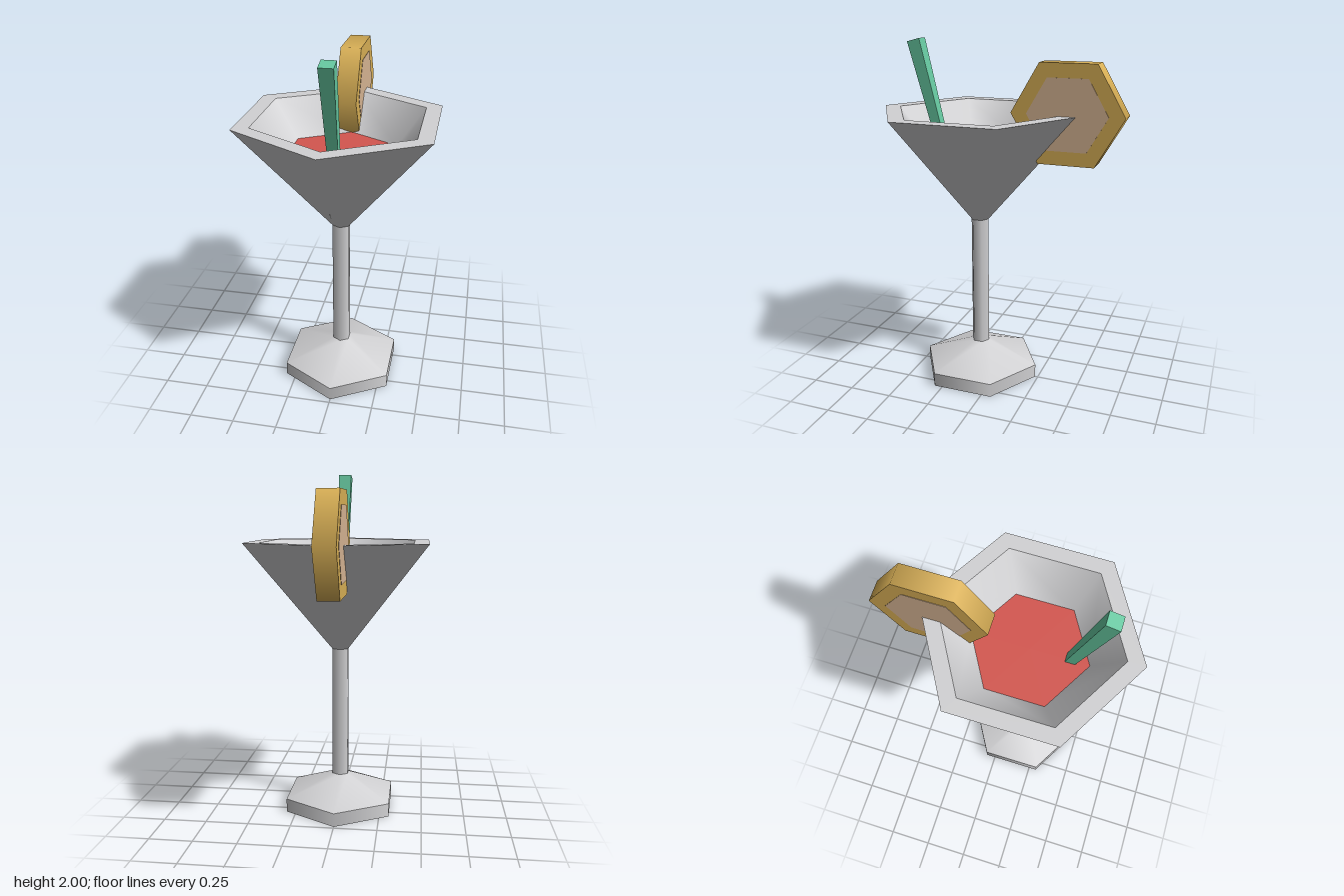
import * as THREE from 'three';

const mat = (name, color, side = THREE.FrontSide) => {
  const m = new THREE.MeshStandardMaterial({ color, side });
  m.name = name;
  return m;
};

export function createModel() {
  const glass = mat('clear grey glass', 0xd2d2d4, THREE.DoubleSide);
  const red = mat('red drink', 0xd4564f);
  const green = mat('green straw', 0x66c8a0);
  const yellow = mat('yellow peel', 0xd9b056);
  const pale = mat('pale flesh', 0xd8b694);

  const root = new THREE.Group();
  root.name = 'cocktail';
  const add = (parent, name, geometry, material, x = 0, y = 0, z = 0) => {
    const mesh = new THREE.Mesh(geometry, material);
    mesh.name = name;
    mesh.position.set(x, y, z);
    parent.add(mesh);
    return mesh;
  };

  // Six-sided glass, corners pointing to the front and back
  const cup = new THREE.Group();
  cup.name = 'glass';
  cup.position.z = 0.12;
  root.add(cup);
  const wall = (name, r0, y0, r1, y1) =>
    add(cup, name, new THREE.CylinderGeometry(r1, r0, y1 - y0, 6, 1, true), glass, 0, (y0 + y1) / 2);
  wall('footEdge', 0.354, 0, 0.354, 0.08);
  wall('footSlope', 0.354, 0.08, 0.053, 0.2);
  wall('stem', 0.053, 0.2, 0.053, 0.98);
  wall('bowlOutside', 0.053, 0.98, 0.59, 1.61);
  wall('bowlInside', 0.32, 1.405, 0.493, 1.61);
  add(cup, 'footBase', new THREE.CircleGeometry(0.354, 6, Math.PI / 2).rotateX(Math.PI / 2), glass);
  add(cup, 'rim', new THREE.RingGeometry(0.493, 0.59, 6, 1, Math.PI / 2).rotateX(-Math.PI / 2), glass, 0, 1.61);
  add(cup, 'drink', new THREE.CircleGeometry(0.325, 6, Math.PI / 2).rotateX(-Math.PI / 2), red, 0, 1.41);

  // Square straw, narrower at the bottom, leaning forward
  const length = 0.63;
  const strawShape = new THREE.CylinderGeometry(0.054, 0.037, length, 4, 1, false, Math.PI / 4)
    .translate(0, -length / 2, 0).toNonIndexed();
  strawShape.computeVertexNormals();
  add(root, 'straw', strawShape, green, 0.011, 1.99, 0.492).rotation.x = 0.255;

  // Citrus slice pushed onto the back corner of the rim
  const slice = new THREE.Group();
  slice.name = 'citrusSlice';
  slice.position.set(-0.015, 1.617, -0.396);
  root.add(slice);
  const disc = (r, t) => new THREE.CylinderGeometry(r, r, t, 6).rotateZ(Math.PI / 2);
  add(slice, 'peel', disc(0.315, 0.117), yellow);
  for (const s of [-1, 1]) add(slice, 'flesh', disc(0.226, 0.004), pale, s * 0.0585);

  return root;
}
